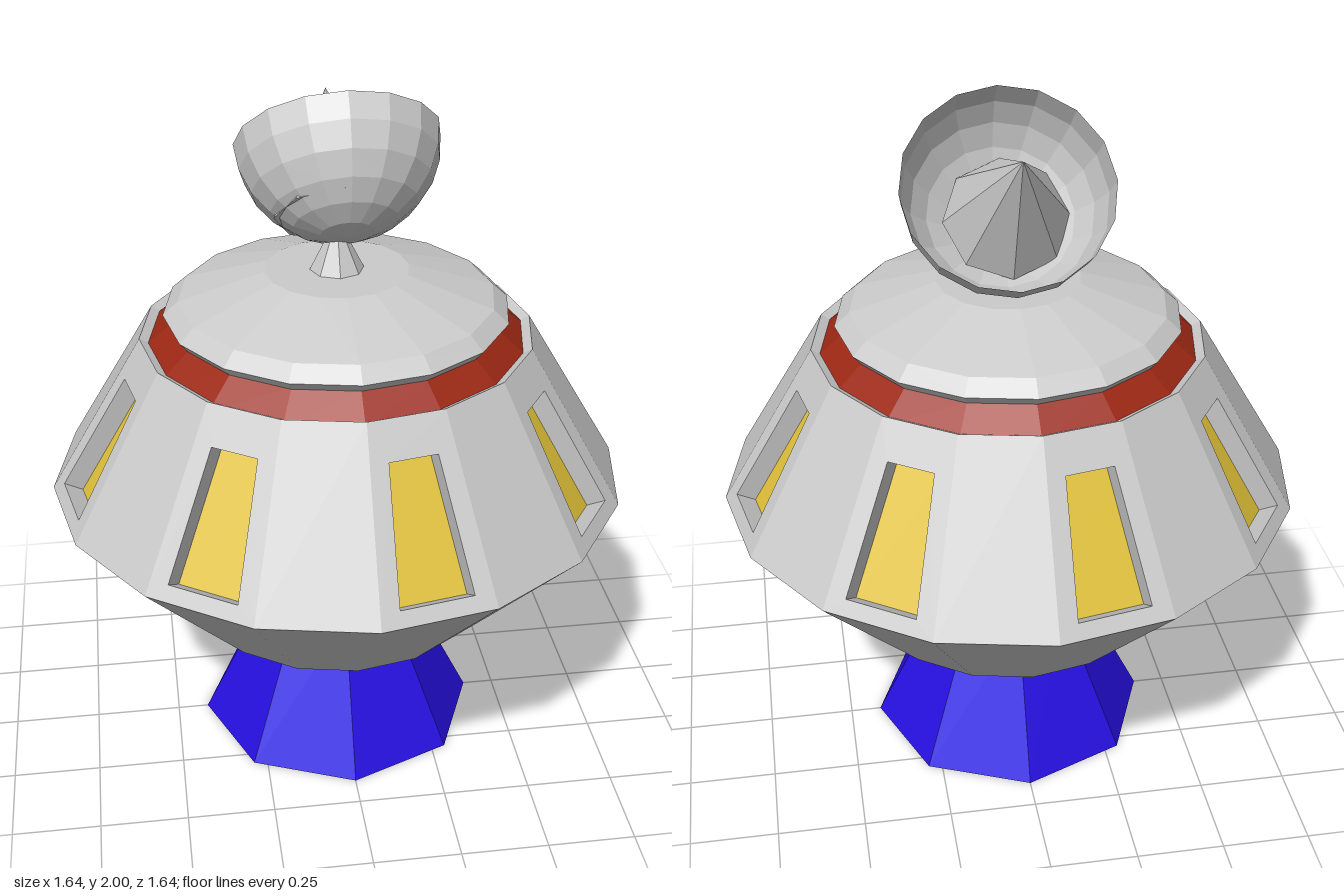
import * as THREE from 'three';

const SIDES = 16;
const WAIST = { r: 0.82, y: 0.84 };
const RIM = { r: 0.55, y: 1.295 };

const paint = (color, side = THREE.FrontSide) =>
  new THREE.MeshStandardMaterial({ color, side, flatShading: true });

function addMesh(parent, name, geometry, material, x = 0, y = 0, z = 0) {
  const mesh = new THREE.Mesh(geometry, material);
  mesh.name = name;
  mesh.position.set(x, y, z);
  parent.add(mesh);
  return mesh;
}

// Faceted frustum between two heights
function frustum(rTop, rBottom, y0, y1, sides, open = false) {
  return new THREE.CylinderGeometry(rTop, rBottom, y1 - y0, sides, 1, open).translate(0, (y0 + y1) / 2, 0);
}

// Corners of a symmetric trapezoid, counter-clockwise
const trapezoid = (halfBottom, halfTop, v0, v1) => [
  new THREE.Vector2(-halfBottom, v0), new THREE.Vector2(halfBottom, v0),
  new THREE.Vector2(halfTop, v1), new THREE.Vector2(-halfTop, v1),
];

export function createModel() {
  const model = new THREE.Group();
  const grey = paint(0xcccccc);
  const greyThin = paint(0xcccccc, THREE.DoubleSide);
  const yellow = paint(0xe0c038);
  const red = paint(0x9c2814);
  const blue = paint(0x2810e4);

  // Pedestal and lower hull
  addMesh(model, 'pedestal', frustum(0.2, 0.41, 0, 0.43, 8), blue);
  addMesh(model, 'lowerHull', frustum(WAIST.r, 0.44, 0.43, WAIST.y, SIDES), grey);

  // Upper hull: sloping wall panels, every other one with a recessed window
  const half = Math.PI / SIDES;
  const apothem = WAIST.r * Math.cos(half);
  const inset = (WAIST.r - RIM.r) * Math.cos(half);
  const rise = RIM.y - WAIST.y;
  const slope = Math.hypot(inset, rise);
  const depth = 0.06;
  const outline = trapezoid(WAIST.r * Math.sin(half), RIM.r * Math.sin(half), 0, slope);
  const opening = trapezoid(0.102, 0.067, 0.046, 0.416);

  const panelGeometry = (withHole) => {
    const shape = new THREE.Shape(outline);
    if (withHole) shape.holes.push(new THREE.Path(opening));
    return new THREE.ExtrudeGeometry(shape, { depth, bevelEnabled: false }).translate(0, 0, -depth);
  };
  const plainPanel = panelGeometry(false);
  const windowPanel = panelGeometry(true);
  const glass = new THREE.ShapeGeometry(new THREE.Shape(trapezoid(0.108, 0.073, 0.04, 0.422)));

  const upperHull = new THREE.Group();
  upperHull.name = 'upperHull';
  model.add(upperHull);
  for (let i = 0; i < SIDES; i++) {
    const bay = new THREE.Group();
    bay.name = 'wallBay';
    bay.rotation.y = half * (2 * i + 1);
    const panel = new THREE.Group();
    panel.name = 'slopingPanel';
    panel.position.set(0, WAIST.y, apothem);
    panel.rotation.x = -Math.atan2(inset, rise);
    const hasWindow = i % 2 === 0;
    addMesh(panel, 'wallPanel', hasWindow ? windowPanel : plainPanel, grey);
    if (hasWindow) addMesh(panel, 'windowGlass', glass, yellow, 0, 0, -depth + 0.001);
    bay.add(panel);
    upperHull.add(bay);
  }

  // Red collar under the roof cap
  addMesh(model, 'collar', frustum(0.457, 0.545, 1.265, 1.337, SIDES), red);

  // Roof cap
  const capProfile = [[0, 1.335], [0.46, 1.335], [0.482, 1.362], [0.44, 1.4], [0.2, 1.475], [0, 1.475]]
    .map(([r, y]) => new THREE.Vector2(r, y));
  addMesh(model, 'roofCap', new THREE.LatheGeometry(capProfile, SIDES), grey);

  // Dish antenna, tipped up and to the back
  addMesh(model, 'antennaStem', frustum(0.022, 0.075, 1.475, 1.58, 8), grey);
  const antenna = new THREE.Group();
  antenna.name = 'antenna';
  antenna.position.set(0.02, 1.794, -0.135);
  antenna.rotation.x = -Math.PI / 4;
  model.add(antenna);
  addMesh(antenna, 'dish',
    new THREE.SphereGeometry(0.285, 16, 6, 0, Math.PI * 2, Math.PI / 2, Math.PI / 2), greyThin);
  addMesh(antenna, 'feedCone', new THREE.ConeGeometry(0.175, 0.377, 8), grey, -0.018, -0.0315, 0);

  return model;
}
